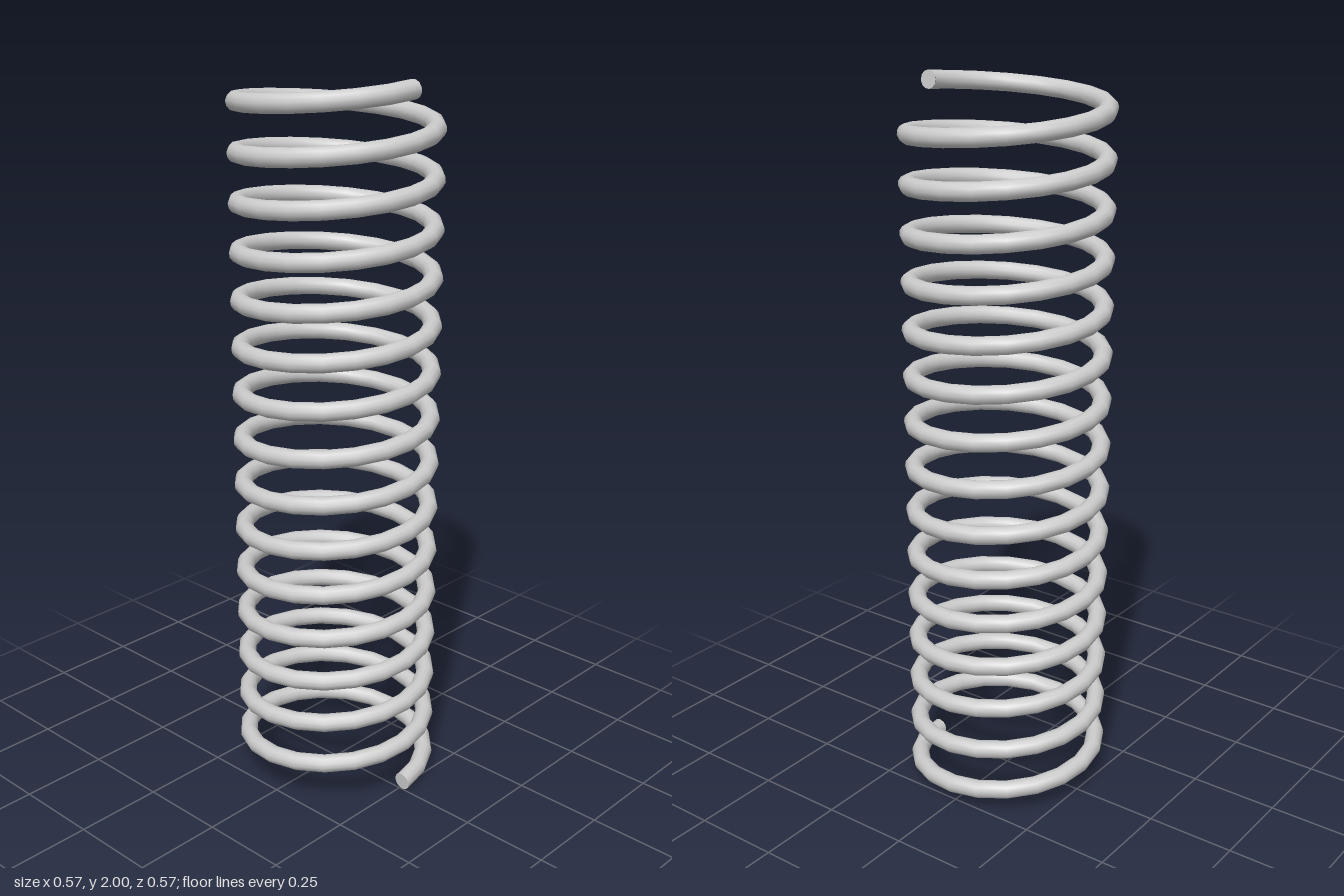
import * as THREE from 'three';

const TURNS = 15, STEPS_PER_TURN = 20, SIDES = 12;
const COIL_RADIUS = 0.259, WIRE_RADIUS = 0.025;
const BOTTOM = WIRE_RADIUS, TOP = 2 - WIRE_RADIUS;

// Helix rising from +x, turning through -z first
class Helix extends THREE.Curve {
  getPoint(t, target = new THREE.Vector3()) {
    const a = t * TURNS * Math.PI * 2;
    return target.set(
      COIL_RADIUS * Math.cos(a),
      BOTTOM + (TOP - BOTTOM) * t,
      -COIL_RADIUS * Math.sin(a)
    );
  }
  // The helix already has constant speed, so no arc length table is needed
  getUtoTmapping(u) {
    return u;
  }
}

export function createModel() {
  const group = new THREE.Group();
  group.name = 'coilSpring';
  const material = new THREE.MeshStandardMaterial({ color: 0xcccccc });
  const helix = new Helix();

  // Coiled wire, faceted along its length
  const wire = new THREE.Mesh(
    new THREE.TubeGeometry(helix, TURNS * STEPS_PER_TURN, WIRE_RADIUS, SIDES, false),
    material
  );
  wire.name = 'coilWire';
  group.add(wire);

  // Flat cut ends of the wire
  for (const [name, t, outward] of [['bottomEnd', 0, -1], ['topEnd', 1, 1]]) {
    const cap = new THREE.Mesh(new THREE.CircleGeometry(WIRE_RADIUS, SIDES), material);
    cap.name = name;
    cap.position.copy(helix.getPoint(t));
    cap.quaternion.setFromUnitVectors(
      new THREE.Vector3(0, 0, 1),
      helix.getTangent(t).multiplyScalar(outward)
    );
    group.add(cap);
  }
  return group;
}
